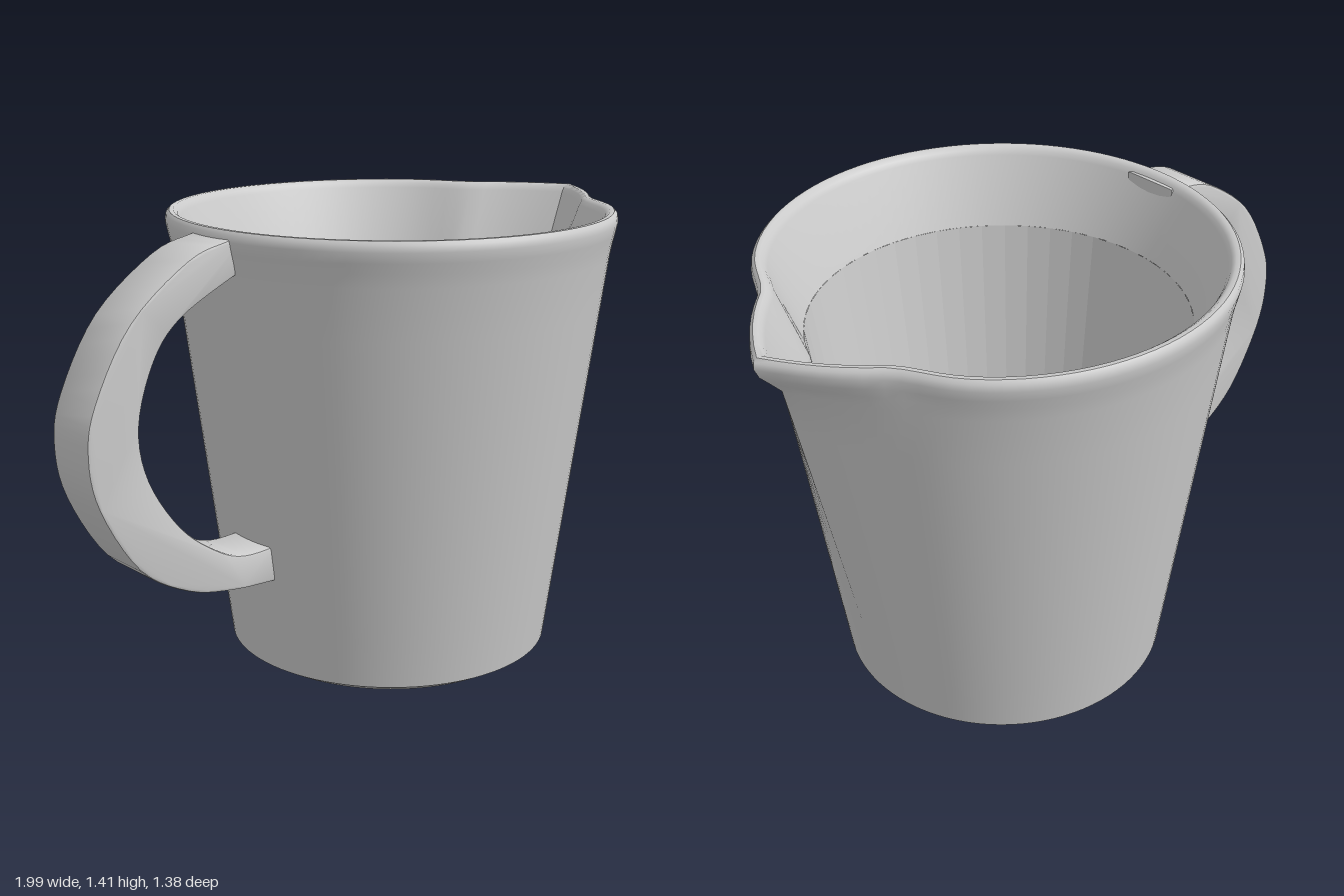
import * as THREE from 'three';
import { toCreasedNormals } from 'three/addons/utils/BufferGeometryUtils.js';

const SIDES = 96;
const CENTRE = 0.16;
const material = () => new THREE.MeshStandardMaterial({ color: 0xcccccc, side: THREE.DoubleSide });

// Radius of a ring at an angle: a circle pulled out to a point towards +x.
function ringRadius([r, , bump, width = 24, power = 1.2, dip = 0], angle) {
  const deg = Math.abs(THREE.MathUtils.radToDeg(angle));
  const pull = bump * Math.pow(Math.max(0, 1 - deg / width), power);
  return r + pull - dip * Math.exp(-(((deg - 28) / 8) ** 2));
}

// Skin a stack of rings [radius, y, spout bump, spout width, spout power, dip].
function skin(rings, sides = SIDES) {
  const pos = [], index = [];
  for (const ring of rings) {
    for (let i = 0; i < sides; i++) {
      const a = (i / sides) * Math.PI * 2;
      const r = ringRadius(ring, a > Math.PI ? a - Math.PI * 2 : a);
      pos.push(CENTRE + r * Math.cos(a), ring[1], -r * Math.sin(a));
    }
  }
  for (let j = 0; j < rings.length - 1; j++) {
    for (let i = 0; i < sides; i++) {
      const a = j * sides + i, b = j * sides + ((i + 1) % sides);
      const c = a + sides, d = b + sides;
      if (rings[j][0] > 0) index.push(a, b, d);
      if (rings[j + 1][0] > 0) index.push(a, d, c);
    }
  }
  const geo = new THREE.BufferGeometry();
  geo.setAttribute('position', new THREE.Float32BufferAttribute(pos, 3));
  geo.setIndex(index);
  return geo;
}

function addMesh(group, name, geo, crease) {
  const mesh = new THREE.Mesh(toCreasedNormals(geo, crease), material());
  mesh.name = name;
  group.add(mesh);
}

export function createModel() {
  const group = new THREE.Group();
  group.name = 'pouringJug';

  // Outer wall with its foot, spout ridge, flared lip and rounded rim
  const outer = [[0, 0, 0], [0.4, 0, 0], [0.46, 0.01, 0], [0.51, 0.04, 0]];
  for (let i = 1; i <= 8; i++) {
    const t = i / 8;
    outer.push([0.51 + 0.158 * t, 0.04 + 1.24 * t, 0.092 * t, 29, 2]);
  }
  outer.push(
    [0.675, 1.32, 0.12, 27, 1.6, 0.004],
    [0.682, 1.35, 0.14, 25, 1.3, 0.008],
    [0.688, 1.38, 0.147, 24, 1.2, 0.01],
    [0.685, 1.4, 0.147, 24, 1.2, 0.01],
    [0.675, 1.41, 0.147, 24, 1.2, 0.01],
    [0.662, 1.41, 0.147, 24, 1.2, 0.01],
    [0.65, 1.4, 0.147, 24, 1.2, 0.01],
    [0.642, 1.385, 0.147, 24, 1.2, 0.01],
    [0.56, 1.18, 0.155, 22, 1.1],
  );
  addMesh(group, 'outerWallAndRim', skin(outer), 0.75);

  // Faceted lower inside wall and the floor
  addMesh(group, 'innerWall', skin([[0.56, 1.18, 0.155, 22, 1.1], [0.42, 0.08, 0.06, 14, 1]], 48), 0.02);
  addMesh(group, 'innerFloor', skin([[0.42, 0.08, 0.06, 14, 1], [0, 0.08, 0]], 48), 0.1);

  // C-shaped handle band, thickest at its outer bend
  const toPoints = (list) => list.map(([x, y]) => new THREE.Vector2(x, y));
  const outerEdge = new THREE.SplineCurve(toPoints([
    [-0.47, 1.395], [-0.53, 1.385], [-0.66, 1.345], [-0.85, 1.2], [-0.97, 1.0], [-1, 0.86],
    [-0.97, 0.7], [-0.85, 0.5], [-0.69, 0.396], [-0.53, 0.358], [-0.36, 0.347],
  ])).getPoints(50);
  const innerEdge = new THREE.SplineCurve(toPoints([
    [-0.36, 0.46], [-0.49, 0.457], [-0.59, 0.497], [-0.71, 0.594], [-0.81, 0.754],
    [-0.835, 0.914], [-0.78, 1.085], [-0.69, 1.19], [-0.52, 1.278], [-0.47, 1.295],
  ])).getPoints(45);
  const band = new THREE.ExtrudeGeometry(new THREE.Shape([...outerEdge, ...innerEdge]), {
    depth: 0.164, bevelEnabled: true, bevelThickness: 0.008, bevelSize: 0.008,
    bevelOffset: -0.008, bevelSegments: 2,
  });
  band.translate(0, 0, -0.082);
  addMesh(group, 'handle', band, 0.6);

  return group;
}
